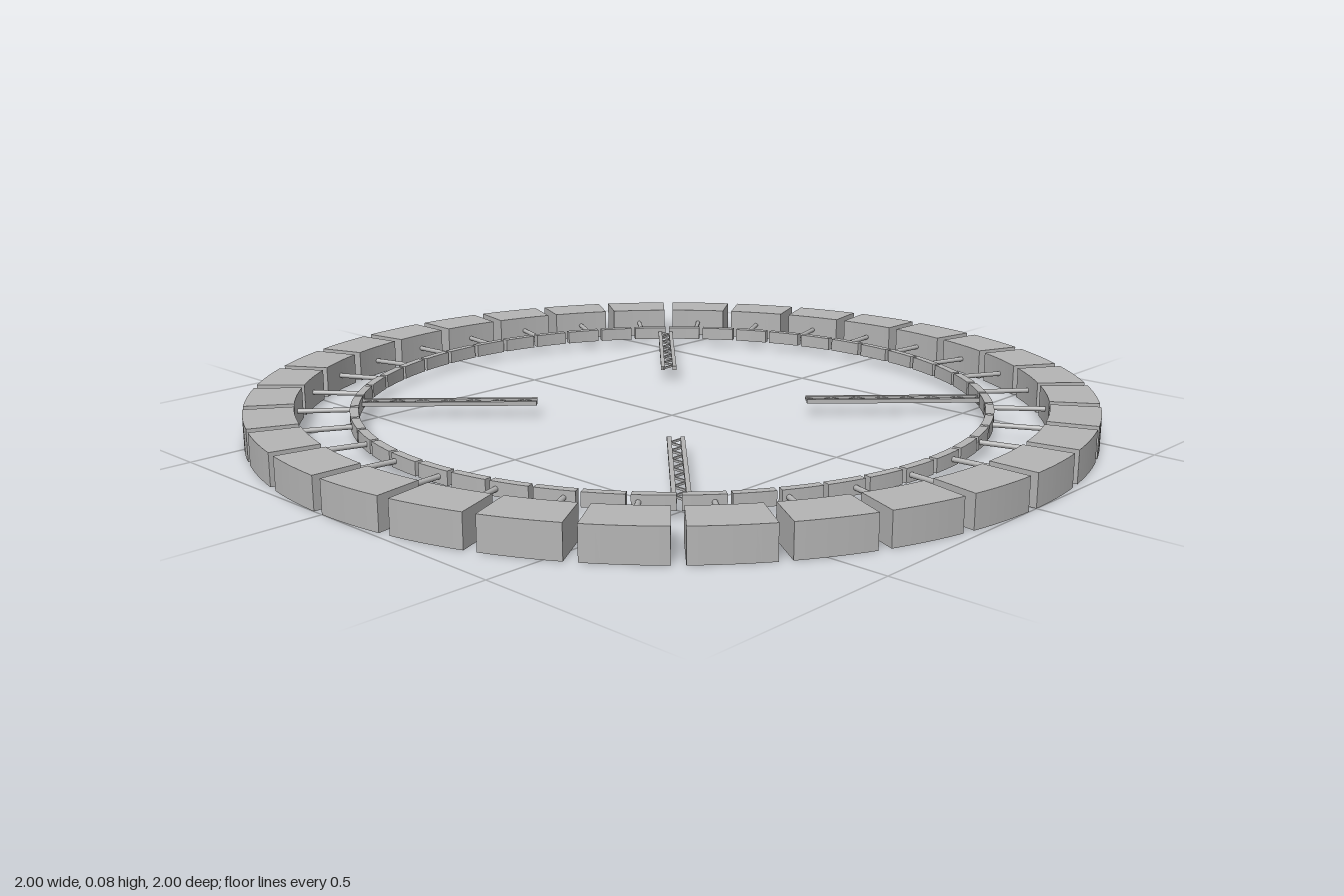
import * as THREE from 'three';

const rad = THREE.MathUtils.degToRad;
const MID = 0.037; // height of the ring's centre plane

// Curved block between two radii, swept over an angle and standing on its base
function arcBlock(inner, outer, degrees, base, height) {
  const a = rad(degrees);
  const s = new THREE.Shape();
  s.moveTo(outer, 0);
  s.absarc(0, 0, outer, 0, a, false);
  s.lineTo(inner * Math.cos(a), inner * Math.sin(a));
  s.absarc(0, 0, inner, a, 0, true);
  s.closePath();
  const g = new THREE.ExtrudeGeometry(s, { depth: height, bevelEnabled: false, curveSegments: 8 });
  return g.rotateX(-Math.PI / 2).translate(0, base, 0);
}

export function createModel() {
  const grey = new THREE.MeshStandardMaterial({ color: 0xb4b4b4 });
  grey.name = 'station grey';
  const model = new THREE.Group();
  model.name = 'ringStation';

  function add(parent, name, geometry, angle = 0) {
    const m = new THREE.Mesh(geometry, grey);
    m.name = name;
    m.rotation.y = angle;
    parent.add(m);
    return m;
  }

  // Outer ring of modules, each joined to the inner ring by a strut
  const modules = 32, step = 360 / modules, span = step - 1.6;
  const moduleGeo = arcBlock(0.886, 1, span, 0, 0.075);
  const strutGeo = new THREE.CylinderGeometry(0.006, 0.006, 0.138, 12)
    .rotateZ(Math.PI / 2).translate(0.822, MID, 0);
  for (let i = 0; i < modules; i++) {
    add(model, 'outerModule', moduleGeo, rad(i * step));
    add(model, 'strut', strutGeo, rad(i * step + span / 2));
  }

  // Thin segmented inner ring
  const segments = 48, segStep = 360 / segments;
  const segmentGeo = arcBlock(0.742, 0.762, segStep - 0.8, 0.021, 0.032);
  for (let i = 0; i < segments; i++) add(model, 'innerRingSegment', segmentGeo, rad(i * segStep));

  // Four lattice arms pointing at the hub: two rails with zigzag bracing
  const start = 0.325, end = 0.752, half = 0.015, bays = 14;
  const pitch = (end - start) / bays;
  const railGeo = new THREE.BoxGeometry(end - start, 0.01, 0.01);
  const braceGeo = new THREE.BoxGeometry(Math.hypot(pitch, half * 2), 0.005, 0.004);
  for (let i = 0; i < 4; i++) {
    const arm = new THREE.Group();
    arm.name = 'latticeArm';
    arm.rotation.y = rad(45 + i * 90);
    for (const side of [-1, 1]) {
      add(arm, 'rail', railGeo).position.set((start + end) / 2, MID, side * half);
    }
    for (let b = 0; b < bays; b++) {
      const tilt = Math.atan2(half * 2, pitch) * (b % 2 ? 1 : -1);
      add(arm, 'brace', braceGeo, tilt).position.set(start + (b + 0.5) * pitch, MID, 0);
    }
    model.add(arm);
  }
  return model;
}
